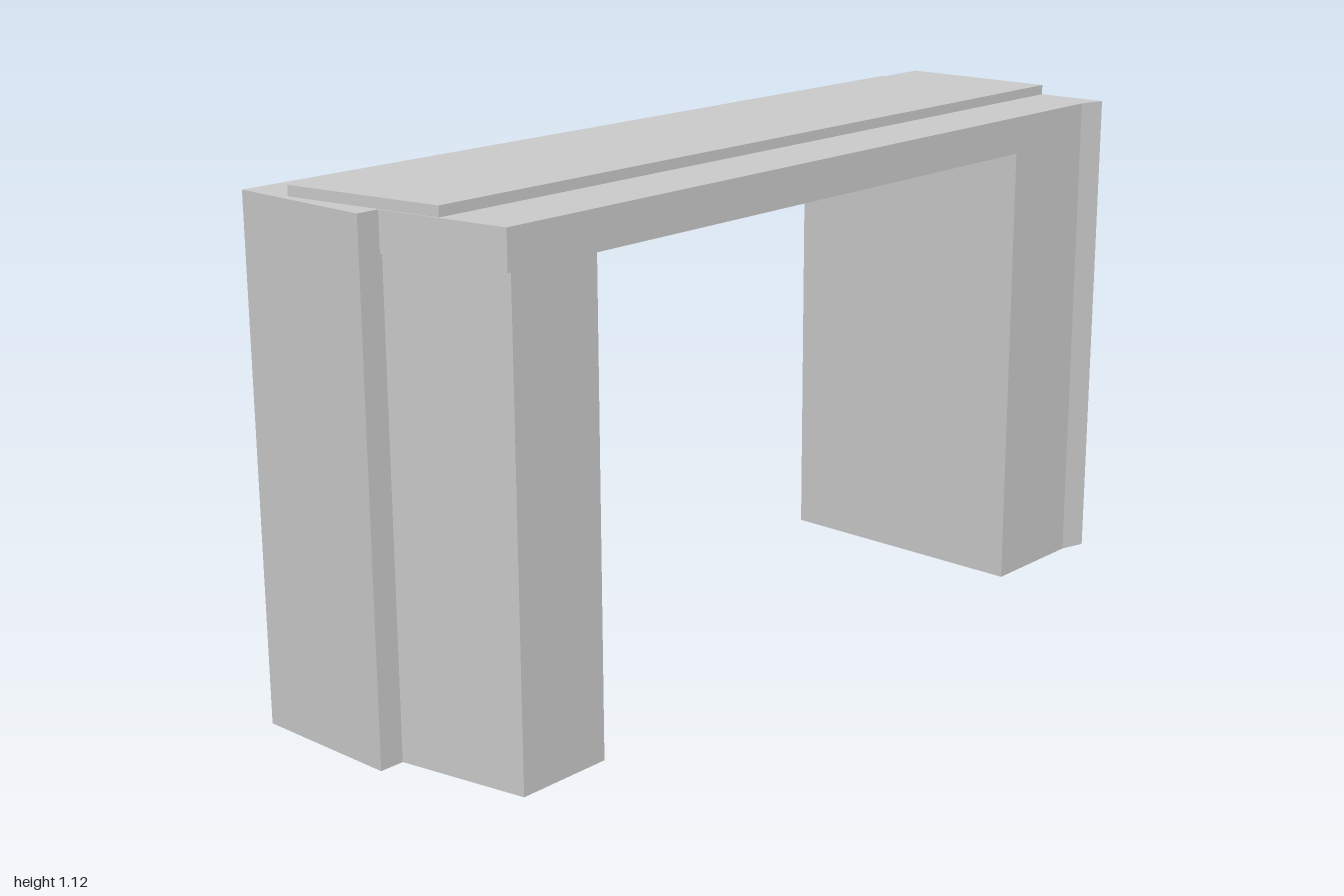
import * as THREE from 'three';

const material = new THREE.MeshStandardMaterial({ color: 0xcccccc, flatShading: true });

// Vertical prism over a plan outline of [x, z] points, from height y0 to y1.
function prism(name, outline, y0, y1) {
  const shape = new THREE.Shape(outline.map(([x, z]) => new THREE.Vector2(x, -z)));
  const geometry = new THREE.ExtrudeGeometry(shape, { depth: y1 - y0, bevelEnabled: false });
  geometry.rotateX(-Math.PI / 2).translate(0, y0, 0);
  const mesh = new THREE.Mesh(geometry, material);
  mesh.name = name;
  return mesh;
}

export function createModel() {
  const group = new THREE.Group();
  group.name = 'bridge';
  const legTop = 1.02, deckTop = 1.103, roadTop = 1.125;
  const inner = 0.677;

  // Right pier, with a notched outer front corner
  group.add(prism('rightPier', [
    [-1, -0.322], [-inner, -0.32], [-inner, 0.305], [-0.895, 0.305], [-0.945, 0.015], [-1, 0.015],
  ], 0, legTop));

  // Left pier, its outer face set back towards the rear
  group.add(prism('leftPier', [
    [inner, -0.313], [0.945, -0.312], [1, 0.322], [0.94, 0.305], [inner, 0.305],
  ], 0, legTop));

  // Deck slab spanning both piers
  group.add(prism('deck', [
    [-1, -0.322], [0.983, -0.311], [1, 0.322], [0.94, 0.305],
    [-0.903, 0.305], [-0.95, 0.015], [-1, 0.015],
  ], legTop, deckTop));

  // Raised roadway along the middle of the deck
  group.add(prism('roadway', [
    [-0.983, -0.205], [0.985, -0.213], [0.995, 0.157], [-0.925, 0.152],
  ], deckTop, roadTop));

  return group;
}
